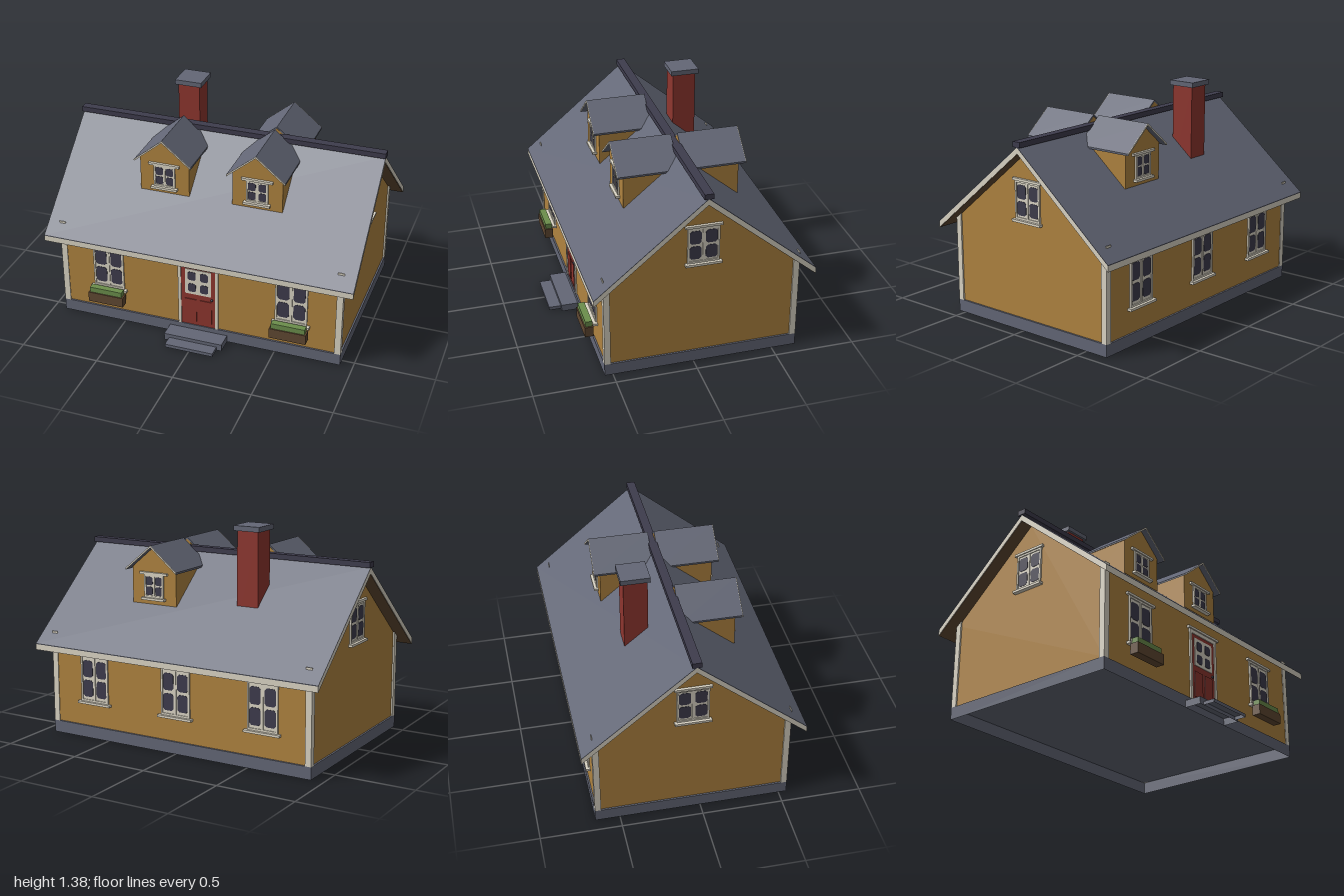
import * as THREE from 'three';

const mat = (name, color, side = THREE.FrontSide) =>
  Object.assign(new THREE.MeshStandardMaterial({ color, side }), { name });
const wall = mat('ochre wall', 0xb08440);
const cream = mat('cream trim', 0xdcd6c6);
const slate = mat('slate grey', 0x636776, THREE.DoubleSide);
const dark = mat('dark glass and ridge', 0x3e3c4d);
const red = mat('brick red', 0x8f362f);
const wood = mat('brown wood', 0x614932);
const green = mat('plant green', 0x6c8f4c);

const RIDGE_Z = -0.051;
const BASE = 0.077; // top of the foundation

function add(parent, name, geometry, material, x = 0, y = 0, z = 0) {
  const mesh = new THREE.Mesh(geometry, material);
  mesh.name = name;
  mesh.position.set(x, y, z);
  parent.add(mesh);
  return mesh;
}

// Box given by its minimum and maximum corners
function block(parent, name, material, [x0, y0, z0], [x1, y1, z1]) {
  return add(parent, name, new THREE.BoxGeometry(x1 - x0, y1 - y0, z1 - z0), material,
    (x0 + x1) / 2, (y0 + y1) / 2, (z0 + z1) / 2);
}

// Hollow slate box without its bottom face
function openBlock(parent, name, min, max) {
  const { geometry } = block(parent, name, slate, min, max);
  geometry.setIndex([...geometry.index.array].filter((_, i) => i < 18 || i >= 24));
  geometry.clearGroups();
}

function group(parent, name, x = 0, y = 0, z = 0, turn = 0) {
  const g = new THREE.Group();
  g.name = name;
  g.position.set(x, y, z);
  g.rotation.y = turn;
  parent.add(g);
  return g;
}

const polygon = (points) => new THREE.Shape(points.map(([x, y]) => new THREE.Vector2(x, y)));

// Prism of an outline, from z0 to z1
const prism = (shape, z0, z1) =>
  new THREE.ExtrudeGeometry(shape, { depth: z1 - z0, bevelEnabled: false }).translate(0, 0, z0);

// Inverted V of vertical thickness t
const chevron = (half, eave, peak, t) => polygon([
  [-half, eave - t], [0, peak - t], [half, eave - t], [half, eave], [0, peak], [-half, eave],
]);

// House-shaped outline
const gable = (half, base, eave, peak) =>
  polygon([[-half, base], [half, base], [half, eave], [0, peak], [-half, eave]]);

// Four panes with clipped corners
function panes(parent, w, h, dx, dy, z) {
  const a = w / 2, b = h / 2, c = w * 0.18;
  const shape = polygon([
    [-a + c, -b], [a - c, -b], [a, -b + c], [a, b - c],
    [a - c, b], [-a + c, b], [-a, b - c], [-a, -b + c],
  ]);
  for (const sx of [-1, 1]) for (const sy of [-1, 1]) {
    add(parent, 'windowPane', prism(shape, 0, 0.003), dark, sx * dx, sy * dy, z);
  }
}

// Casement window facing +z, centred on its casing
function windowUnit(parent, x, y, z, turn, w, h, headW, sillW) {
  const g = group(parent, 'window', x, y, z, turn);
  const a = w / 2, b = h / 2, r = 0.012, t = 0.015;
  const casing = polygon([[-a, -b], [a, -b], [a, b], [-a, b]]);
  casing.holes.push(polygon([[-a + r, -b + r], [-a + r, b - r], [a - r, b - r], [a - r, -b + r]]));
  add(g, 'windowCasing', prism(casing, 0, 0.01), cream);
  block(g, 'windowSash', cream, [-a + r, -b + r, 0], [a - r, b - r, 0.004]);
  block(g, 'windowMullion', cream, [-0.006, -b + r, 0], [0.006, b - r, 0.009]);
  panes(g, w * 0.365, h * 0.365, w * 0.25, h * 0.215, 0.003);
  block(g, 'windowHead', cream, [-headW / 2, b, 0], [headW / 2, b + t, 0.017]);
  block(g, 'windowSill', cream, [-sillW / 2, -b - t, 0], [sillW / 2, -b, 0.027]);
}

function dormer(parent, x, turn) {
  const g = group(parent, 'dormer', x, 0, RIDGE_Z, turn);
  add(g, 'dormerWalls', prism(gable(0.16, 0.855, 1.082, 1.216), 0.02, 0.36), wall);
  add(g, 'dormerRoof', prism(chevron(0.185, 1.077, 1.229, 0.012), 0.02, 0.398), slate);
  add(g, 'dormerBargeboard', prism(chevron(0.185, 1.077, 1.229, 0.012), 0.398, 0.402), cream);
  windowUnit(g, 0, 0.97, 0.36, 0, 0.14, 0.145, 0.2, 0.17);
}

function door(parent) {
  const g = group(parent, 'frontDoor', 0, 0, 0.54);
  block(g, 'doorLeaf', red, [-0.112, BASE, 0], [0.112, 0.51, 0.004]);
  for (const s of [-1, 1]) {
    block(g, 'doorJamb', cream, [s * 0.122 - 0.01, BASE, 0], [s * 0.122 + 0.01, 0.51, 0.01]);
    block(g, 'doorPanel', red, [s * 0.05 - 0.038, 0.105, 0], [s * 0.05 + 0.038, 0.268, 0.009]);
  }
  block(g, 'doorLintel', cream, [-0.132, 0.51, 0], [0.132, 0.533, 0.01]);
  block(g, 'doorHead', cream, [-0.148, 0.533, 0], [0.148, 0.548, 0.018]);
  block(g, 'doorWindow', cream, [-0.085, 0.307, 0], [0.085, 0.487, 0.008]);
  panes(group(g, 'doorPanes', 0, 0.397, 0.007), 0.052, 0.06, 0.04, 0.042, 0);
  add(g, 'doorKnob', new THREE.SphereGeometry(0.008, 10, 8), dark, 0.09, 0.285, 0.008);
}

export function createModel() {
  const house = new THREE.Group();
  house.name = 'house';

  // Hollow base, walls and thin corner boards
  openBlock(house, 'foundation', [-0.92, 0, -0.652], [0.92, BASE, 0.55]);
  const shell = group(house, 'shell', 0, 0, RIDGE_Z, Math.PI / 2);
  add(shell, 'walls', prism(gable(0.591, BASE + 0.001, 0.617, 1.111), -0.91, 0.91), wall);
  for (const sx of [-1, 1]) for (const sz of [-1, 1]) {
    const corner = group(house, 'cornerBoards', sx * 0.9, 0, RIDGE_Z + sz * 0.581);
    block(corner, 'facadeBoard', cream,
      [-0.02, BASE, sz * 0.018 - 0.002], [0.02, 0.663, sz * 0.018 + 0.002]);
    block(corner, 'gableBoard', cream,
      [sx * 0.015 - 0.005, BASE, -0.018], [sx * 0.015 + 0.005, 0.645, 0.018]);
  }

  // Main roof: trim edge, slate skin, wooden soffit
  add(shell, 'roofTrim', prism(chevron(0.676, 0.583, 1.148, 0.036), -0.995, 0.995), cream);
  add(shell, 'roofSlates', prism(chevron(0.676, 0.587, 1.152, 0.004), -0.995, 0.995), slate);
  add(shell, 'roofSoffit', prism(chevron(0.673, 0.5495, 1.112, 0.003), -0.992, 0.992), wood);
  block(house, 'ridgeCap', dark, [-1, 1.15, RIDGE_Z - 0.028], [1, 1.183, RIDGE_Z + 0.028]);

  // Chimney
  block(house, 'chimney', red, [-0.403, 0.8, -0.357], [-0.261, 1.354, -0.211]);
  block(house, 'chimneyCap', slate, [-0.42, 1.354, -0.375], [-0.244, 1.385, -0.196]);

  // Dormers
  dormer(house, -0.3, 0);
  dormer(house, 0.3, 0);
  dormer(house, 0.3, Math.PI);

  // Wall windows and flower boxes
  for (const x of [-0.6, 0.6]) {
    windowUnit(house, x, 0.385, 0.54, 0, 0.204, 0.295, 0.25, 0.24);
    block(house, 'flowerBox', wood, [x - 0.117, 0.151, 0.566], [x + 0.117, 0.217, 0.62]);
    block(house, 'flowerBoxPlants', green, [x - 0.107, 0.217, 0.571], [x + 0.107, 0.252, 0.613]);
  }
  for (const x of [-0.6, 0, 0.6]) {
    windowUnit(house, x, 0.385, -0.642, Math.PI, 0.204, 0.295, 0.25, 0.24);
  }
  for (const s of [-1, 1]) {
    windowUnit(house, s * 0.91, 0.811, RIDGE_Z, s * Math.PI / 2, 0.195, 0.235, 0.225, 0.222);
  }

  // Entrance
  door(house);
  openBlock(house, 'upperStep', [-0.19, 0, 0.55], [0.19, 0.045, 0.655]);
  openBlock(house, 'lowerStep', [-0.157, 0, 0.655], [0.157, 0.022, 0.73]);

  return house;
}
